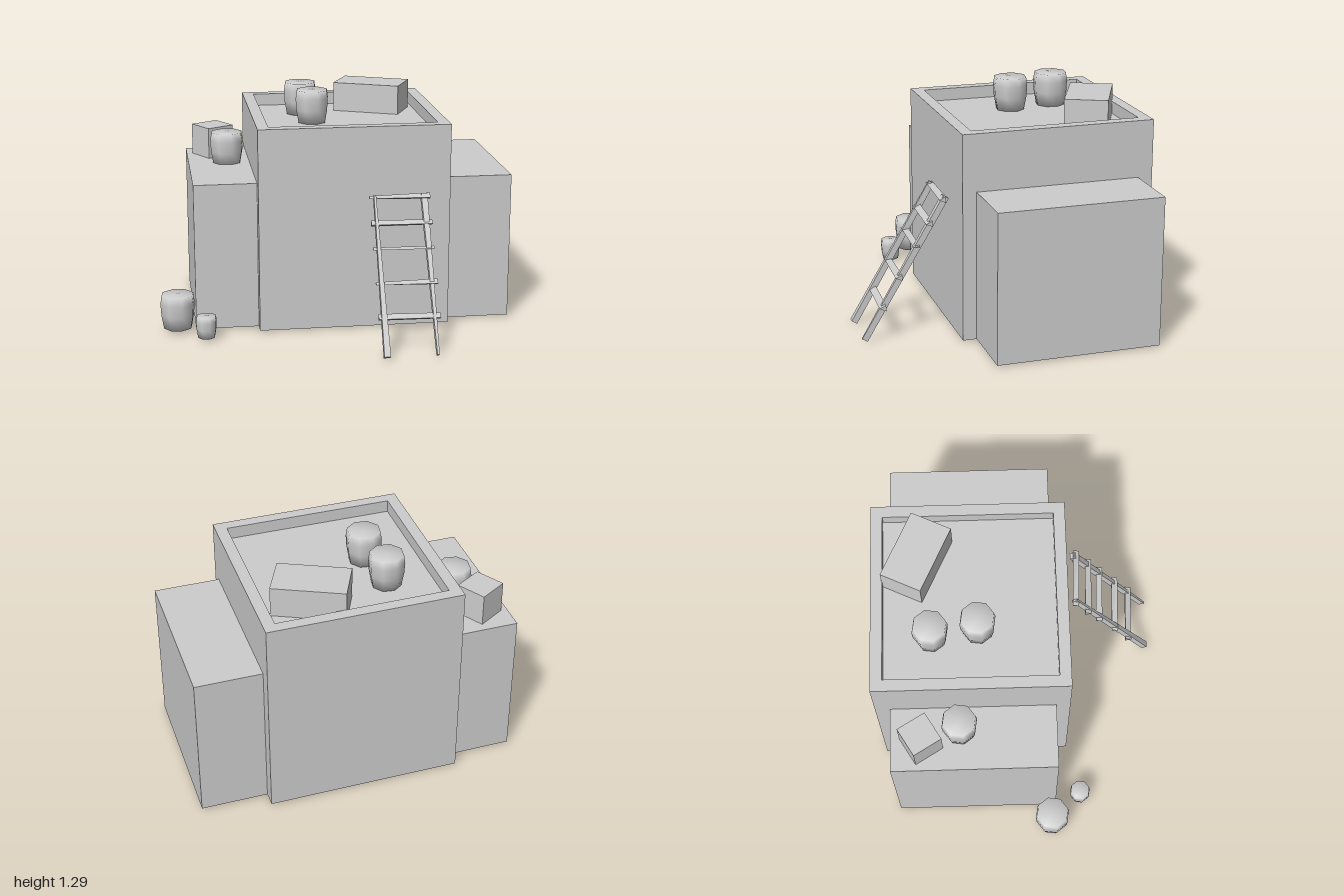
import * as THREE from 'three';

const stone = new THREE.MeshStandardMaterial({ color: 0xcccccc, side: THREE.DoubleSide });
stone.name = 'plainGrey';

function flat(geometry) {
  const g = geometry.index ? geometry.toNonIndexed() : geometry;
  g.computeVertexNormals();
  return g;
}

function add(parent, name, geometry, x, y, z, turn = 0) {
  const mesh = new THREE.Mesh(geometry, stone);
  mesh.name = name;
  mesh.position.set(x, y, z);
  mesh.rotation.y = turn;
  parent.add(mesh);
  return mesh;
}

// Smooth eight-sided pot standing on y = 0
function potGeometry(r, h) {
  const profile = [[0, 0], [0.82, 0], [0.96, 0.4], [1, 0.75], [0.93, 1], [0, 1]];
  return new THREE.LatheGeometry(profile.map(([a, b]) => new THREE.Vector2(a * r, b * h)), 8);
}

// Box whose x width runs from bottom to top
function railGeometry(length, bottom, top) {
  const g = new THREE.BoxGeometry(1, length, 0.035);
  const p = g.attributes.position;
  for (let i = 0; i < p.count; i++) p.setX(i, p.getX(i) * (p.getY(i) < 0 ? bottom : top));
  return flat(g);
}

// Three-sided bar along x whose height runs from left end to right end
function rungGeometry(length, start, end) {
  const g = new THREE.CylinderGeometry(0.024, 0.024, length, 3);
  g.rotateZ(Math.PI / 2);
  const p = g.attributes.position;
  for (let i = 0; i < p.count; i++) {
    p.setY(i, p.getY(i) / 0.042 * (p.getX(i) < 0 ? start : end));
  }
  return flat(g);
}

export function createModel() {
  const model = new THREE.Group();
  model.name = 'flatRoofHouse';

  // Main block: open below, with a parapet around a sunken roof
  const half = 0.54 * Math.SQRT2, inner = 0.475 * Math.SQRT2;
  const section = [[half, 0.01], [half, 1.17], [inner, 1.17], [inner, 1.1], [0, 1.1]];
  const shell = new THREE.LatheGeometry(section.map(([a, b]) => new THREE.Vector2(a, b)), 4, Math.PI / 4);
  add(model, 'mainBlock', flat(shell), 0.09, 0, -0.263);

  // Side wings
  for (const [name, x0, x1] of [['rightWing', -0.805, -0.433], ['leftWing', 0.615, 1]]) {
    add(model, name, new THREE.BoxGeometry(x1 - x0, 0.84, 0.92), (x0 + x1) / 2, 0.43, -0.26);
  }

  // Crates on the roofs
  add(model, 'largeCrate', new THREE.BoxGeometry(0.4, 0.17, 0.24), 0.31, 1.185, -0.548, -0.44);
  add(model, 'smallCrate', new THREE.BoxGeometry(0.175, 0.18, 0.175), -0.65, 0.94, -0.55, 0.54);

  // Pots: x, y, z, radius, height
  const pots = [
    [-0.13, 1.1, -0.477, 0.1, 0.19], [-0.09, 1.1, -0.22, 0.1, 0.19],
    [-0.58, 0.84, -0.335, 0.1, 0.19], [-0.907, 0.02, 0.175, 0.1, 0.195],
    [-0.755, 0.015, 0.345, 0.06, 0.122],
  ];
  pots.forEach(([x, y, z, r, h], i) => add(model, 'pot' + (i + 1), potGeometry(r, h), x, y, z, 0.25));

  // Leaning ladder
  const ladder = new THREE.Group();
  ladder.name = 'ladder';
  model.add(ladder);
  const lean = -Math.atan2(0.46, 0.78);
  for (const [x, bottom, top] of [[0.19, 0.036, 0.012], [0.468, 0.012, 0.036]]) {
    add(ladder, 'ladderRail', railGeometry(0.905, bottom, top), x, 0.4, 0.558).rotation.x = lean;
  }
  // Rungs: y, z, height at each end
  const rungs = [
    [0.195, 0.677, 0.038, 0.035], [0.36, 0.585, 0.01, 0.032], [0.527, 0.483, 0.01, 0.012],
    [0.65, 0.413, 0.036, 0.03], [0.78, 0.337, 0.012, 0.036],
  ];
  for (const [y, z, start, end] of rungs) {
    add(ladder, 'ladderRung', rungGeometry(0.34, start, end), 0.33, y, z, -0.04);
  }
  return model;
}
